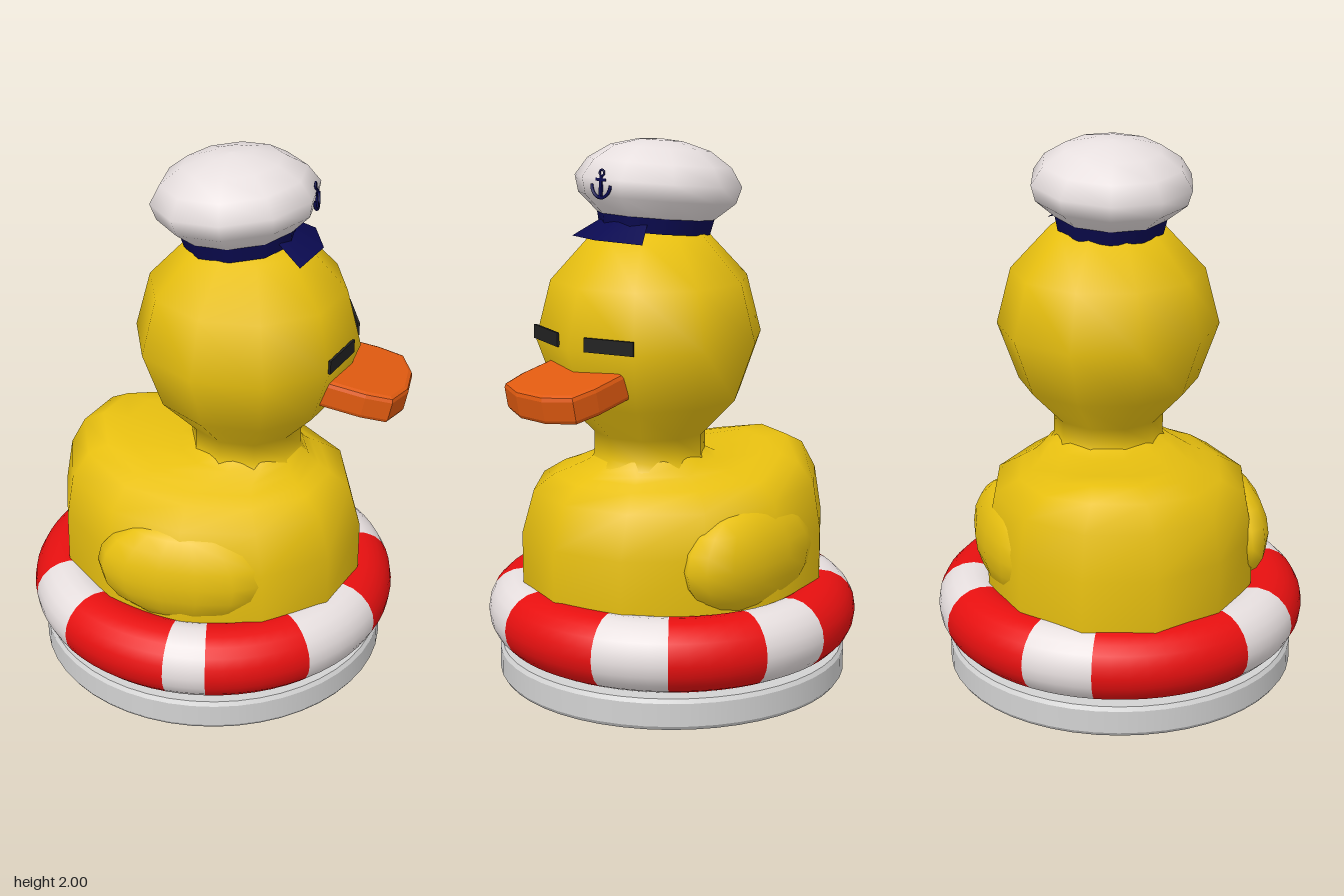
import * as THREE from 'three';

const material = (name, color, side = THREE.FrontSide) => {
  const m = new THREE.MeshStandardMaterial({ color, side });
  m.name = name;
  return m;
};
const DEG = Math.PI / 180;
const lathe = (pts, segs, start = 0) =>
  new THREE.LatheGeometry(pts.map(p => new THREE.Vector2(p[0], p[1])), segs, start);

// Twelve-sided loft; each ring is [y, rx, rz, cx, cz, tailLift]
function loftBody(rings) {
  const n = 12, pos = [], idx = [];
  for (const [y, rx, rz, cx, cz, lift] of rings) {
    for (let j = 0; j < n; j++) {
      const a = (15 + j * 30) * DEG, w = Math.max(0, -Math.cos(a)) ** 2;
      pos.push(cx + rx * Math.cos(a), y + lift * w, cz + rz * Math.sin(a));
    }
  }
  for (let i = 0; i < rings.length - 1; i++) {
    for (let j = 0; j < n; j++) {
      const a = i * n + j, b = i * n + (j + 1) % n;
      idx.push(a, a + n, b, b, a + n, b + n);
    }
  }
  const g = new THREE.BufferGeometry();
  g.setAttribute('position', new THREE.Float32BufferAttribute(pos, 3));
  g.setIndex(idx);
  g.computeVertexNormals();
  return g;
}

export function createModel() {
  const root = new THREE.Group();
  root.name = 'rubberDuck';
  const yellow = material('duckYellow', 0xe8c010);
  const orange = material('beakOrange', 0xe05a10);
  const red = material('buoyRed', 0xe81010);
  const white = material('clothWhite', 0xece4e4);
  const grey = material('baseGrey', 0xd2d2d2);
  const navy = material('navyBlue', 0x0a0a50, THREE.DoubleSide);
  const black = material('eyeBlack', 0x222222);

  const add = (name, geo, mat, parent = root, p = [0, 0, 0]) => {
    const m = new THREE.Mesh(geo, mat);
    m.name = name;
    m.position.set(...p);
    parent.add(m);
    return m;
  };

  // Base disc
  add('base', lathe([[0, 0], [0.64, 0], [0.64, 0], [0.65, 0.015], [0.65, 0.015],
    [0.65, 0.1], [0.65, 0.1], [0.64, 0.115], [0.64, 0.115], [0, 0.115]], 48), grey);

  // Life ring, alternating red and white sectors
  const cuts = [0, 37, 60, 90, 113, 150, 172, 222, 247, 284, 297, 330, 360];
  for (let i = 0; i < cuts.length - 1; i++) {
    const arc = cuts[i + 1] - cuts[i];
    const g = new THREE.TorusGeometry(0.558, 0.132, 20, Math.ceil(arc / 6), arc * DEG);
    g.rotateZ(cuts[i] * DEG).rotateX(-Math.PI / 2);
    add('lifeRingSector', g, i % 2 ? white : red, root, [0, 0.248, 0]);
  }

  // Body with raised tail
  add('body', loftBody([
    [0.12, 0.57, 0.49, -0.012, 0, 0],
    [0.38, 0.587, 0.505, -0.012, 0, 0],
    [0.57, 0.587, 0.505, -0.012, 0, 0],
    [0.73, 0.55, 0.475, -0.022, 0, 0.01],
    [0.785, 0.49, 0.38, -0.035, 0, 0.055],
    [0.805, 0.43, 0.33, -0.02, -0.01, 0.075],
    [0.825, 0.36, 0.29, 0.01, -0.02, 0.05],
    [0.85, 0.235, 0.23, 0.1, -0.04, 0],
    [0.88, 0.19, 0.19, 0.117, -0.045, 0],
  ]), yellow);

  // Wings, one on each flank, turned half a circle from each other
  for (const s of [1, -1]) {
    const wing = add('wing', new THREE.SphereGeometry(1, 14, 10), yellow, root,
      [0.1 * s, 0.53, 0.39 * s]);
    wing.scale.set(0.325, 0.205, 0.14);
    wing.rotation.y = 18 * DEG;
  }

  // Head and neck
  const head = new THREE.Group();
  head.name = 'head';
  head.position.set(0.117, 0, -0.045);
  root.add(head);
  add('headAndNeck', lathe([[0.225, 0.84], [0.205, 0.87], [0.205, 0.95], [0.335, 1.085],
    [0.412, 1.3], [0.358, 1.51], [0.21, 1.67], [0, 1.71]], 10), yellow, head);

  // Face, turned slightly from the body
  const face = new THREE.Group();
  face.name = 'face';
  face.rotation.y = 18 * DEG;
  head.add(face);
  for (const s of [1, -1]) {
    const socket = new THREE.Group();
    socket.name = 'eyeSocket';
    socket.rotation.y = -18 * s * DEG;
    face.add(socket);
    add('eye', new THREE.BoxGeometry(0.009, 0.05, 0.19), black, socket, [0.394, 1.327, 0.035 * s]);
  }

  // Beak, a rounded plate sloping down to the front
  const half = [[-0.16, 0.165], [0.06, 0.17], [0.145, 0.155], [0.185, 0.06]];
  const outline = [...half, ...half.map(([u, v]) => [u, -v]).reverse()];
  const beakGeo = new THREE.ExtrudeGeometry(
    new THREE.Shape(outline.map(p => new THREE.Vector2(p[0], p[1]))),
    { depth: 0.07, bevelEnabled: true, bevelThickness: 0.018, bevelSize: 0.018, bevelSegments: 2 });
  beakGeo.translate(0, 0, -0.035).rotateX(-Math.PI / 2);
  add('beak', beakGeo, orange, face, [0.39, 1.165, 0]).rotation.z = -0.2;

  // Sailor hat, tilted
  const hat = new THREE.Group();
  hat.name = 'hat';
  hat.position.set(0.088, 1.7, -0.033);
  hat.rotation.set(0.03, 0, 0.1);
  root.add(hat);
  add('hatCrown', lathe([[0, 0.01], [0.2, 0.012], [0.21, 0.025], [0.285, 0.09], [0.302, 0.15],
    [0.26, 0.215], [0.18, 0.268], [0.08, 0.295], [0, 0.3]], 10, Math.PI / 10), white, hat);
  add('hatBand', new THREE.CylinderGeometry(0.212, 0.2, 0.055, 10, 1, true, Math.PI / 10),
    navy, hat, [0, 0, 0]);
  add('visor', new THREE.CylinderGeometry(0.2, 0.295, 0.065, 2, 1, true, 72 * DEG, 72 * DEG),
    navy, hat, [0, -0.03, 0]);

  // Small anchor badge on the front of the hat
  const turn = new THREE.Group();
  turn.name = 'badgeMount';
  turn.rotation.y = 18 * DEG;
  hat.add(turn);
  const badge = new THREE.Group();
  badge.name = 'anchorBadge';
  badge.position.set(0.284, 0.125, 0);
  badge.rotation.set(0, Math.PI / 2, 0);
  turn.add(badge);
  add('anchorShank', new THREE.BoxGeometry(0.012, 0.075, 0.009), navy, badge);
  add('anchorBar', new THREE.BoxGeometry(0.05, 0.01, 0.009), navy, badge, [0, 0.022, 0]);
  add('anchorEye', new THREE.TorusGeometry(0.011, 0.004, 6, 12), navy, badge, [0, 0.046, 0]);
  add('anchorArms', new THREE.TorusGeometry(0.045, 0.006, 6, 14, Math.PI).rotateZ(Math.PI),
    navy, badge, [0, 0.005, 0]);
  return root;
}
